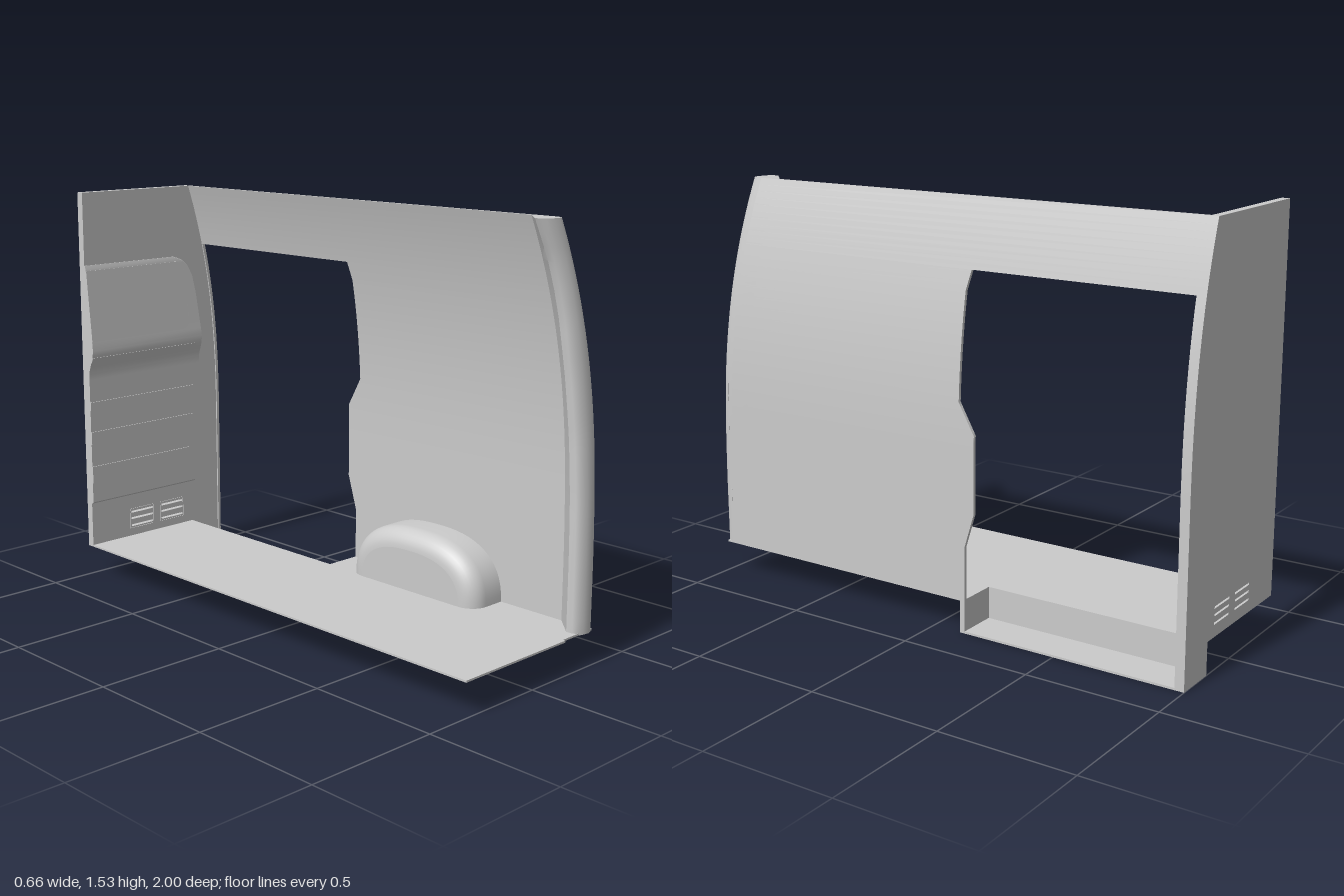
import * as THREE from 'three';
import { toCreasedNormals } from 'three/addons/utils/BufferGeometryUtils.js';

const TOP = 1.53, LEFT = -0.333, SKIN = 0.012;
const grey = new THREE.MeshStandardMaterial({ color: 0xcccccc, side: THREE.DoubleSide });

// Linear interpolation through [key, value] pairs
const table = (pts) => (k) => {
  if (k <= pts[0][0]) return pts[0][1];
  for (let i = 1; i < pts.length; i++) {
    const [a, u] = pts[i - 1], [b, v] = pts[i];
    if (k <= b) return u + (v - u) * (k - a) / (b - a);
  }
  return pts[pts.length - 1][1];
};

// Body side leans in towards the roof; its front edge leans back
const wallX = (y) => 0.33 - 0.13 * Math.pow(Math.max(0, (y - 0.6) / 0.93), 2.4);
const frontZ = (y) => 1 - 0.08 * Math.pow(Math.max(0, (y - 0.3) / 1.23), 2);
const pillarX = table([[0.12, 0.24], [0.6, 0.24], [0.8, 0.235], [1.0, 0.22], [1.2, 0.198], [1.3, 0.18], [1.4, 0.155], [1.53, 0.105]]);
const doorZ = table([[0, -0.135], [0.32, -0.135], [0.45, -0.175], [0.73, -0.175], [0.84, -0.11], [1.22, -0.11], [1.29, -0.125]]);

const add = (parent, name, geometry) => {
  const mesh = new THREE.Mesh(geometry, grey);
  mesh.name = name;
  parent.add(mesh);
  return mesh;
};

// Closed rings of [x, y, z] joined in order, with fan caps
function loft(rings, crease = 0.6) {
  const n = rings[0].length, pos = rings.flat(2), idx = [];
  for (let r = 0; r + 1 < rings.length; r++)
    for (let i = 0; i < n; i++) {
      const a = r * n + i, b = r * n + (i + 1) % n;
      idx.push(a, a + n, b, b, a + n, b + n);
    }
  for (const r of [0, rings.length - 1]) {
    const c = pos.length / 3;
    pos.push(...[0, 1, 2].map((k) => rings[r].reduce((s, p) => s + p[k], 0) / n));
    for (let i = 0; i < n; i++) {
      const a = r * n + i, b = r * n + (i + 1) % n;
      if (r) idx.push(c, a, b); else idx.push(c, b, a);
    }
  }
  const g = new THREE.BufferGeometry();
  g.setAttribute('position', new THREE.Float32BufferAttribute(pos, 3));
  g.setIndex(idx);
  return toCreasedNormals(g, crease);
}

// Even heights between two limits, plus any break points
const heights = (a, b, n, extra = []) => {
  const ys = Array.from({ length: n + 1 }, (_, i) => a + (b - a) * i / n);
  return [...new Set([...ys, ...extra])].sort((p, q) => p - q);
};

// Curved sheet following the body side between two z limits
const sheet = (ys, zA, zB) => loft(ys.map((y) => {
  const x = wallX(y), a = zA(y), b = zB(y);
  return [[x, y, a], [x, y, b], [x - SKIN, y, b], [x - SKIN, y, a]];
}));

// Axis-aligned box given by its limits
function block(parent, name, x0, x1, y0, y1, z0, z1) {
  const m = add(parent, name, new THREE.BoxGeometry(x1 - x0, y1 - y0, z1 - z0));
  m.position.set((x0 + x1) / 2, (y0 + y1) / 2, (z0 + z1) / 2);
  return m;
}

// Strip that starts square at the left edge and ends in rounded right corners
function strip(x1, y0, y1, r, slant = 0) {
  const s = new THREE.Shape();
  s.moveTo(LEFT, y0);
  s.lineTo(x1 - slant - r, y0);
  s.quadraticCurveTo(x1 - slant, y0, x1 - slant, y0 + r);
  s.lineTo(x1, y1 - r);
  s.quadraticCurveTo(x1, y1, x1 - r, y1);
  s.lineTo(LEFT, y1);
  return s;
}

function buildBodySide() {
  const g = new THREE.Group();
  g.name = 'bodySide';
  add(g, 'sidePanel', sheet(heights(0.12, 1.29, 30, [0.32, 0.45, 0.73, 0.84, 1.22]), doorZ, (y) => frontZ(y) - 0.05));
  add(g, 'doorHeader', sheet(heights(1.29, TOP, 10), () => -1, (y) => frontZ(y) - 0.05));
  add(g, 'rearDoorPost', sheet(heights(0, 1.29, 24), () => -1, () => -0.965));
  add(g, 'frontPillar', loft(heights(0.12, TOP, 30).map((y) => {
    const xo = wallX(y), xi = pillarX(y), z = frontZ(y);
    return [[xo, z - 0.13], [xo, z - 0.035], [xo - 0.005, z - 0.016], [xo - 0.014, z - 0.005], [xo - 0.03, z],
      [xi + 0.035, z - 0.003], [xi + 0.01, z - 0.012], [xi, z - 0.025], [xi, z - 0.05], [xo - SKIN, z - 0.13]]
      .map(([x, zz]) => [x, y, zz]);
  }), 0.7));
  // Small hinge slots beside the front corner
  for (const [y0, y1] of [[0.29, 0.34], [0.56, 0.61], [0.69, 0.76]])
    block(g, 'hingeSlot', 0.327, 0.331, y0, y1, 0.958, 0.963);
  return g;
}

function buildFloor() {
  const g = new THREE.Group();
  g.name = 'floor';
  block(g, 'mainFloor', LEFT, 0.17, 0.12, 0.127, -1, 1);
  block(g, 'sideFloor', 0.17, 0.33, 0.12, 0.127, -0.115, 0.99);
  // Sunken entry step
  block(g, 'stepTread', 0.17, 0.33, 0, 0.008, -1, -0.115);
  block(g, 'stepRiser', 0.17, 0.178, 0, 0.127, -1, -0.115);
  block(g, 'stepFrontEnd', 0.17, 0.33, 0, 0.127, -0.135, -0.115);
  // Wheel arch: rounded outline, shrinking over a rolled inner edge
  const rings = [], N = 40, R = 0.07;
  const ring = (x, inset) => Array.from({ length: N + 1 }, (_, i) => {
    const a = Math.PI * i / N, c = Math.cos(a), s = Math.max(0, Math.sin(a));
    return [x, 0.122 + (0.228 - inset) * Math.pow(s, 0.8),
      0.29 + (0.31 - inset) * Math.sign(c) * Math.pow(Math.abs(c), 0.8)];
  });
  rings.push(ring(0.325, 0));
  for (let i = 0; i <= 8; i++) {
    const t = i / 8 * Math.PI / 2;
    rings.push(ring(0.165 + R * (1 - Math.sin(t)), R * (1 - Math.cos(t))));
  }
  add(g, 'wheelArch', loft(rings, 0.7));
  return g;
}

function buildBulkhead() {
  const g = new THREE.Group();
  g.name = 'bulkhead';
  // Back plate with the step notch and the vent slots
  const s = new THREE.Shape();
  s.moveTo(LEFT, 0.12);
  s.lineTo(0.17, 0.12);
  s.lineTo(0.17, 0);
  for (const y of heights(0, TOP, 30)) s.lineTo(wallX(y) - 0.001, y);
  s.lineTo(LEFT, TOP);
  const vents = [[-0.14, -0.03], [0.015, 0.125]];
  for (const [x0, x1] of vents)
    for (const y of [0.165, 0.195, 0.222]) {
      const h = new THREE.Path();
      h.moveTo(x0, y);
      h.lineTo(x0, y + 0.008);
      h.lineTo(x1, y + 0.008);
      h.lineTo(x1, y);
      s.holes.push(h);
    }
  const plate = add(g, 'backPlate', new THREE.ExtrudeGeometry(s, { depth: 0.03, bevelEnabled: false }));
  plate.position.z = -1;
  // Thin frames around the vents
  for (const [x0, x1] of vents) {
    for (const y of [0.156, 0.237]) block(g, 'ventFrame', x0 - 0.006, x1 + 0.006, y, y + 0.003, -0.972, -0.967);
    for (const x of [x0 - 0.006, x1 + 0.003]) block(g, 'ventFrame', x, x + 0.003, 0.156, 0.24, -0.972, -0.967);
  }
  // Pressed panel swelling forward to a ledge under the window area
  const edge = table([[0.3, 0.2], [0.36, 0.212], [0.45, 0.228], [0.55, 0.235], [0.8, 0.235], [0.95, 0.225], [1.1, 0.212],
    [1.17, 0.2], [1.21, 0.18], [1.235, 0.15], [1.25, 0.11]]);
  const face = table([[0.3, -0.966], [0.306, -0.96], [0.83, -0.96], [0.85, -0.953], [0.89, -0.936], [0.92, -0.931], [0.95, -0.934], [1.235, -0.962], [1.25, -0.967]]);
  const ys = heights(0.3, 1.25, 38, [0.306, 0.83, 0.85, 0.89, 0.92, 1.17, 1.21, 1.235]);
  add(g, 'pressedPanel', loft(ys.map((y) => {
    const x = edge(y), z = face(y);
    return [[LEFT, y, -0.975], [x, y, -0.975], [x - 0.012, y, z], [LEFT, y, z]];
  })));
  // Raised field and ribs, bent to lie on the panel
  const press = (name, shape, lift) => {
    const geo = new THREE.ExtrudeGeometry(shape, { depth: lift, bevelEnabled: false, curveSegments: 8 });
    const p = geo.attributes.position;
    for (let i = 0; i < p.count; i++) p.setZ(i, p.getZ(i) + face(p.getY(i)) - 0.001);
    geo.computeVertexNormals();
    add(g, name, geo);
  };
  press('windowField', strip(0.145, 0.955, 1.23, 0.045, -0.012 * -1 * -1), 0.003);
  press('ledgeRib', strip(0.185, 0.873, 0.892, 0.008), 0.004);
  press('rib', strip(0.19, 0.68, 0.712, 0.008), 0.005);
  press('rib', strip(0.185, 0.542, 0.592, 0.01), 0.005);
  press('slantedRib', strip(0.163, 0.385, 0.452, 0.006, 0.02), 0.005);
  return g;
}

export function createModel() {
  const model = new THREE.Group();
  model.name = 'vanBodySection';
  model.add(buildFloor(), buildBodySide(), buildBulkhead());
  return model;
}
